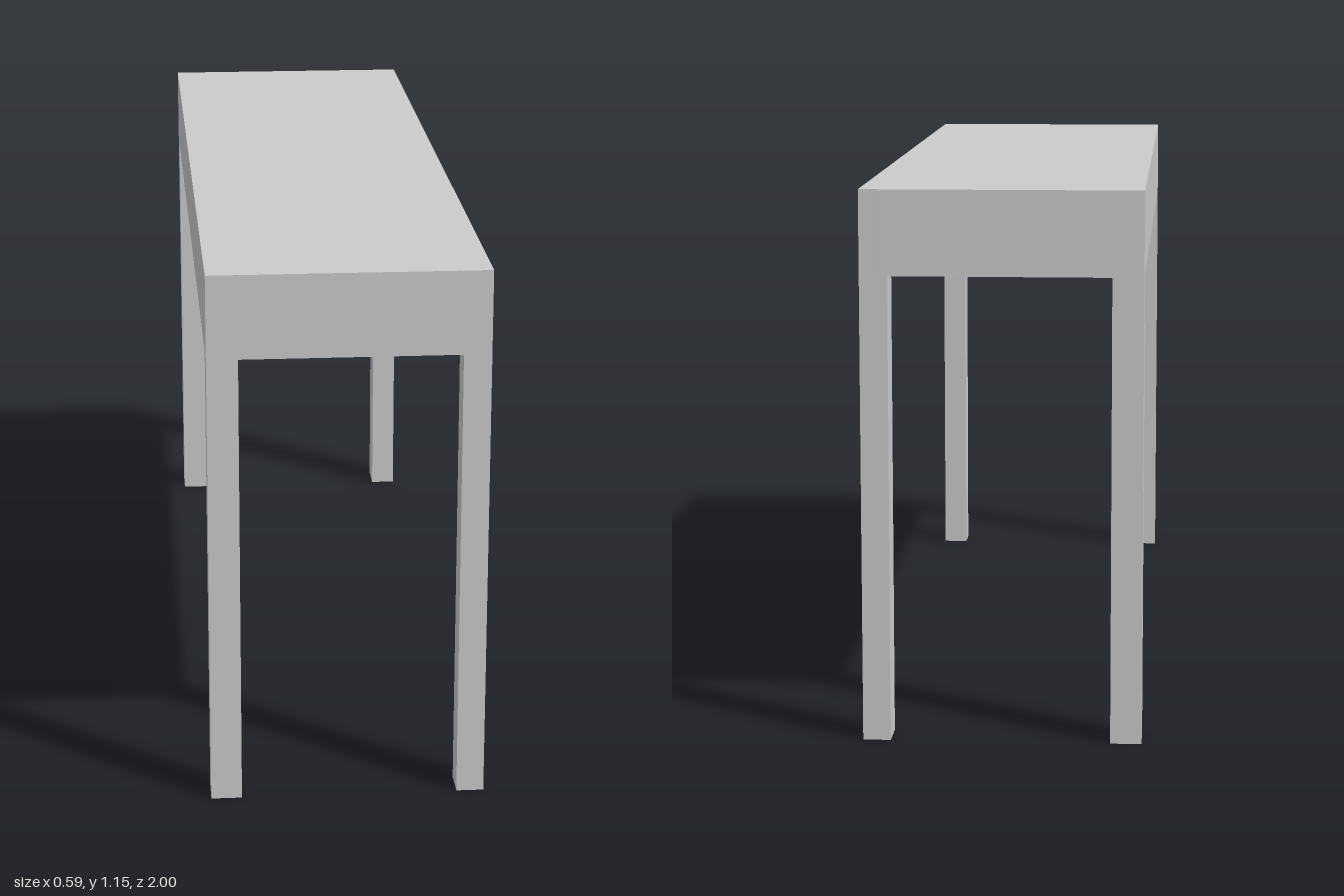
import * as THREE from 'three';

const material = new THREE.MeshStandardMaterial({ color: 0xcccccc });

function add(parent, name, geometry) {
  const mesh = new THREE.Mesh(geometry, material);
  mesh.name = name;
  parent.add(mesh);
  return mesh;
}

// box given by its limits on each axis
function box(x0, x1, y0, y1, z0, z1) {
  return new THREE.BoxGeometry(x1 - x0, y1 - y0, z1 - z0)
    .translate((x0 + x1) / 2, (y0 + y1) / 2, (z0 + z1) / 2);
}

// four corners, counter-clockwise, of a rectangle at one depth
const rect = (u0, u1, v0, v1, d) => [[u0, v0, d], [u1, v0, d], [u1, v1, d], [u0, v1, d]];

// stepped panel: joins nested rectangles from outside to inside, then closes the middle
function panelGeometry(loops) {
  const pos = [];
  const quad = (a, b, c, d) => pos.push(...a, ...b, ...c, ...a, ...c, ...d);
  for (let k = 0; k + 1 < loops.length; k++) {
    for (let i = 0; i < 4; i++) {
      const j = (i + 1) % 4;
      quad(loops[k][i], loops[k][j], loops[k + 1][j], loops[k + 1][i]);
    }
  }
  quad(...loops[loops.length - 1]);
  const g = new THREE.BufferGeometry();
  g.setAttribute('position', new THREE.Float32BufferAttribute(pos, 3));
  g.computeVertexNormals();
  return g;
}

export function createModel() {
  const group = new THREE.Group();
  const X0 = -0.293, X1 = 0.288, BACK = 0.25, FACE = 0.263;
  const Y0 = 0.975, Y1 = 1.152;
  const V0 = 1.003, V1 = 1.125;

  // solid table body behind the drawer rail
  add(group, 'tableBody', box(X0, BACK, Y0, Y1, -1, 1));

  // drawers as ranges of u = -z: opening, inner panel, knob
  const drawers = [
    { name: 'leftDrawer', u0: -0.935, u1: -0.06, p0: -0.882, p1: -0.113, knob: -0.495 },
    { name: 'rightDrawer', u0: 0.06, u1: 0.922, p0: 0.116, p1: 0.89, knob: 0.488 },
  ];

  // front rail with two drawer openings
  const rail = new THREE.Shape();
  rail.moveTo(-1, Y0).lineTo(1, Y0).lineTo(1, Y1).lineTo(-1, Y1).closePath();
  for (const d of drawers) {
    const hole = new THREE.Path();
    hole.moveTo(d.u0, V0).lineTo(d.u0, V1).lineTo(d.u1, V1).lineTo(d.u1, V0).closePath();
    rail.holes.push(hole);
  }
  const railGeo = new THREE.ExtrudeGeometry(rail, { depth: X1 - BACK, bevelEnabled: false });
  add(group, 'drawerRail', railGeo.rotateY(Math.PI / 2).translate(BACK, 0, 0));

  // recessed drawer fronts with a bevelled sunken panel, sill and knob
  for (const d of drawers) {
    const drawer = new THREE.Group();
    drawer.name = d.name;
    const b = 0.011, v0 = 1.034, v1 = 1.104;
    const front = panelGeometry([
      rect(d.u0, d.u1, V0, V1, FACE),
      rect(d.p0, d.p1, v0, v1, FACE),
      rect(d.p0 + b, d.p1 - b, v0 + b, v1 - b, FACE - 0.01),
    ]);
    add(drawer, 'drawerFront', front.rotateY(Math.PI / 2));
    add(drawer, 'drawerSill', box(FACE, FACE + 0.01, V0, V0 + 0.011, -d.u1, -d.u0));
    const stem = new THREE.CylinderGeometry(0.009, 0.009, 0.02, 16).rotateZ(-Math.PI / 2);
    add(drawer, 'knobStem', stem).position.set(0.26, 1.066, -d.knob);
    add(drawer, 'knob', new THREE.SphereGeometry(0.021, 24, 16)).position.set(0.271, 1.066, -d.knob);
    group.add(drawer);
  }

  // four square legs
  for (const [x0, x1] of [[X0, -0.228], [0.23, X1]]) {
    for (const [z0, z1] of [[-1, -0.922], [0.935, 1]]) {
      add(group, 'leg', box(x0, x1, 0, Y0, z0, z1));
    }
  }
  return group;
}
